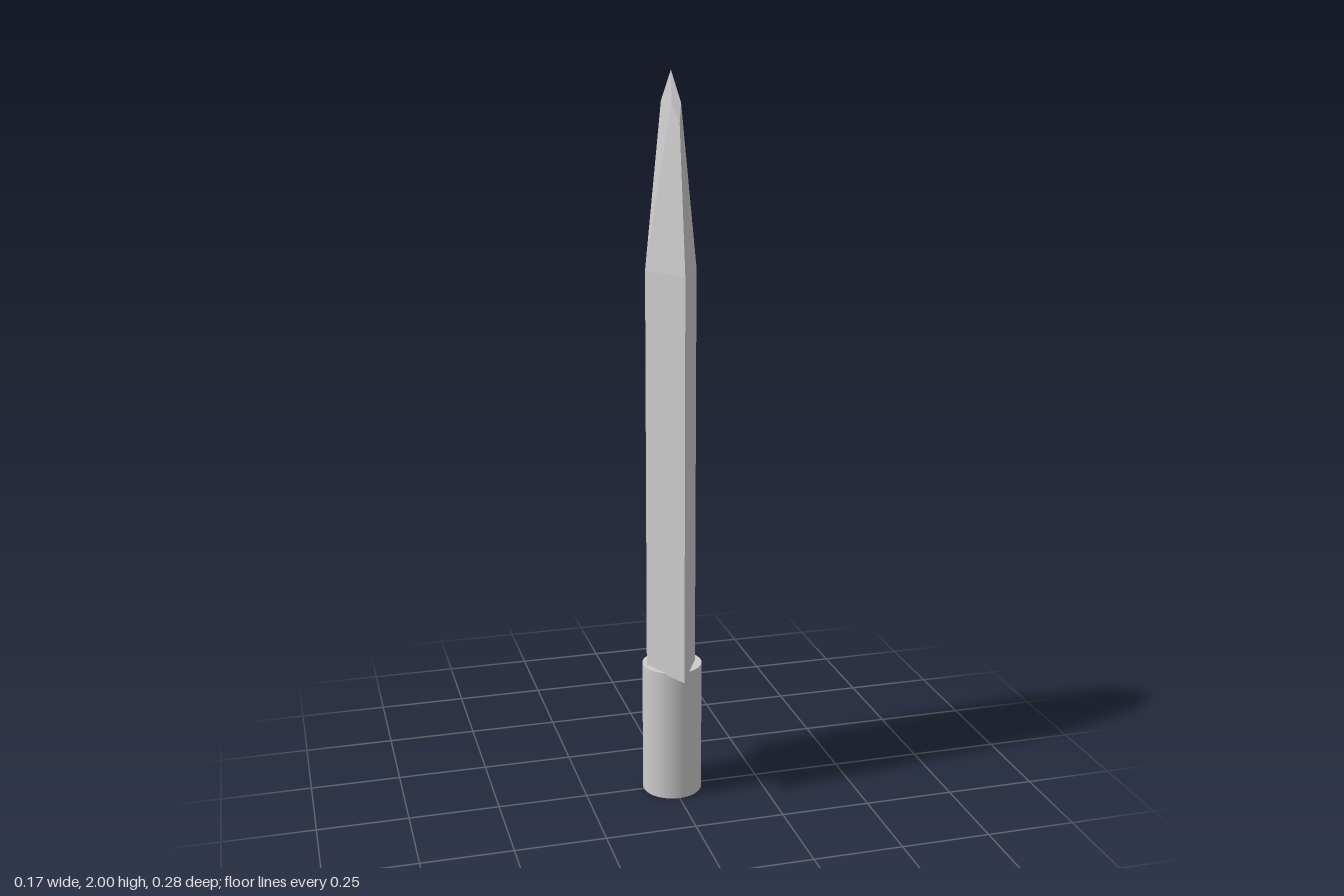
import * as THREE from 'three';
import { ConvexGeometry } from 'three/addons/geometries/ConvexGeometry.js';

export function createModel() {
  const group = new THREE.Group();

  // round handle
  const handle = new THREE.Mesh(
    new THREE.CylinderGeometry(0.083, 0.083, 0.38, 48),
    new THREE.MeshStandardMaterial({ color: 0xcccccc })
  );
  handle.name = 'handle';
  handle.position.y = 0.19;
  group.add(handle);

  // faceted blade: diamond section, tapering to a bevelled point
  const points = [new THREE.Vector3(0, 2, 0)];
  for (const s of [-1, 1]) {
    for (const y of [0.375, 1.49]) {
      points.push(new THREE.Vector3(s * 0.07, y, 0)); // flat ridge
      points.push(new THREE.Vector3(0, y, s * 0.141)); // cutting edge
    }
    points.push(new THREE.Vector3(0, 1.87, s * 0.085)); // shoulder of the point
    for (const t of [-1, 1]) points.push(new THREE.Vector3(t * 0.0126, 1.92, s * 0.0525)); // bevel corners
  }
  const blade = new THREE.Mesh(
    new ConvexGeometry(points),
    new THREE.MeshStandardMaterial({ color: 0xcccccc, flatShading: true })
  );
  blade.name = 'blade';
  blade.position.x = -0.003;
  group.add(blade);

  return group;
}
